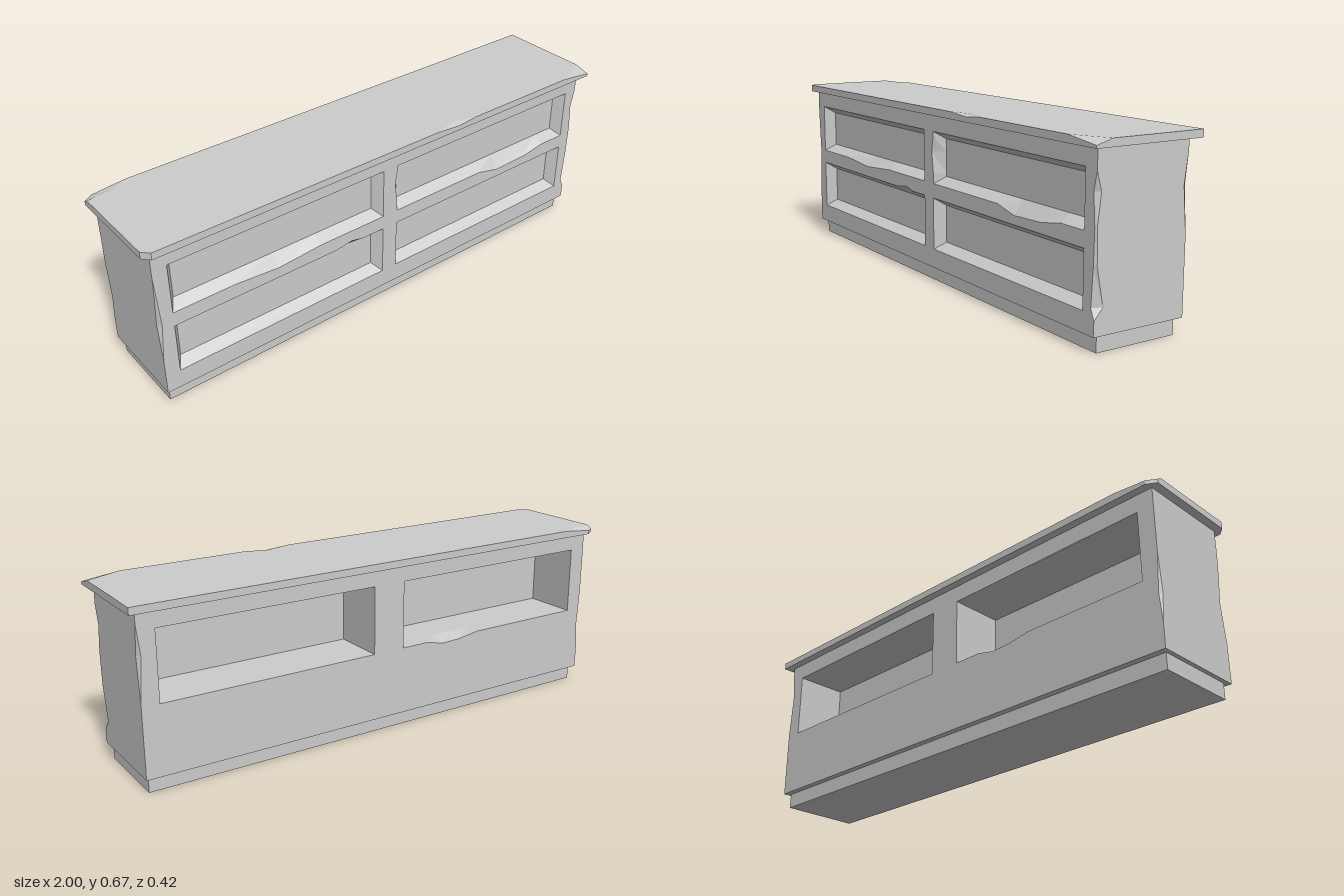
import * as THREE from 'three';

const material = new THREE.MeshStandardMaterial({ color: 0xcccccc, flatShading: true });

function addMesh(parent, geometry, name) {
  const mesh = new THREE.Mesh(geometry, material);
  mesh.name = name;
  parent.add(mesh);
  return mesh;
}

// Strip of quads joining two matching rows of points; collapsed triangles are dropped
function loft(a, b, closed = true) {
  const pos = [];
  const tri = (p, q, r) => {
    const area = q.clone().sub(p).cross(r.clone().sub(p)).length();
    if (area > 1e-9) pos.push(...p.toArray(), ...q.toArray(), ...r.toArray());
  };
  const n = closed ? a.length : a.length - 1;
  for (let i = 0; i < n; i++) {
    const j = (i + 1) % a.length;
    tri(a[i], a[j], b[j]);
    tri(a[i], b[j], b[i]);
  }
  const g = new THREE.BufferGeometry();
  g.setAttribute('position', new THREE.Float32BufferAttribute(pos, 3));
  g.computeVertexNormals();
  return g;
}

const v2 = (x, y) => new THREE.Vector2(x, y);
const v3 = (x, y, z) => new THREE.Vector3(x, y, z);

// Sunken compartment: rim with chipped edges, then stepped inwards to a flat back
function addRecess(parent, name, [x0, x1, y0, y1], z, steps, { bottom = [], top = [], left = [] }) {
  const rim = [[x0, y0], ...bottom, [x1, y0], [x1, y1], ...top, [x0, y1], ...left];
  const group = new THREE.Group();
  group.name = name;
  parent.add(group);
  let previous = rim.map(([x, y]) => v3(x, y, z));
  for (const [inset, depth] of steps) {
    const next = rim.map(([x, y]) => v3(
      THREE.MathUtils.clamp(x, x0 + inset, x1 - inset),
      THREE.MathUtils.clamp(y, y0 + inset, y1 - inset), z - depth));
    addMesh(group, loft(previous, next), 'recessWalls');
    previous = next;
  }
  const [inset, depth] = steps[steps.length - 1];
  const back = new THREE.PlaneGeometry(x1 - x0 - 2 * inset, y1 - y0 - 2 * inset);
  addMesh(group, back, 'recessBack').position.set((x0 + x1) / 2, (y0 + y1) / 2, z - depth);
  return new THREE.Path(rim.map(([x, y]) => v2(x, y)));
}

// Worn vertical corners: [height, cut on this face, cut on the next face]
const Y0 = 0.058, Y1 = 0.64;
const corners = [
  [[0.11, 0, 0], [0.148, 0.016, 0.034], [0.28, 0.008, 0.008], [0.4, 0.006, 0.005],
    [0.505, 0.014, 0.018], [0.57, 0, 0]],
  [[0.325, 0, 0], [0.49, 0.015, 0.012], [0.6, 0, 0]],
  [[0.15, 0, 0], [0.25, 0.008, 0.012], [0.4, 0, 0]],
  [[0.2, 0, 0], [0.35, 0.016, 0.012], [0.45, 0.006, 0.006], [0.55, 0, 0]],
].map(c => [[Y0, 0, 0], ...c, [Y1, 0, 0]]);

// Sunken areas of each face, in that face's own x
const bevel = [[0.027, 0.04]];
const niche = [[0, 0.06], [0, 0.21]];
const frontRecesses = [
  ['upperRightPanel', [-0.915, -0.035, 0.38, 0.575], bevel,
    { bottom: [[-0.68, 0.38], [-0.5, 0.366], [-0.32, 0.38]] }],
  ['upperLeftPanel', [0.03, 0.915, 0.38, 0.575], bevel,
    { bottom: [[0.45, 0.38], [0.55, 0.357], [0.7, 0.362], [0.8, 0.38]],
      left: [[0.03, 0.56], [0.02, 0.5], [0.03, 0.42]] }],
  ['lowerRightPanel', [-0.915, -0.035, 0.13, 0.325], bevel,
    { top: [[-0.13, 0.325], [-0.18, 0.336], [-0.25, 0.325]] }],
  ['lowerLeftPanel', [0.03, 0.915, 0.13, 0.325], bevel, {}],
];
const backRecesses = [
  ['leftNiche', [-0.905, -0.065, 0.317, 0.575], niche, {}],
  ['rightNiche', [0.065, 0.905, 0.317, 0.575], niche,
    { bottom: [[0.18, 0.317], [0.25, 0.3], [0.33, 0.303], [0.42, 0.317]] }],
];
const faces = [
  ['bodyFront', frontRecesses], ['bodyLeft', []], ['bodyBack', backRecesses], ['bodyRight', []],
];

function addBody(root) {
  const half = [0.97, 0.182];
  const body = new THREE.Group();
  body.name = 'body';
  root.add(body);
  faces.forEach(([name, recesses], k) => {
    const w = half[k % 2], d = half[(k + 1) % 2];
    const face = new THREE.Group();
    face.name = name;
    face.rotation.y = k * Math.PI / 2;
    body.add(face);
    const rightEdge = corners[k], leftEdge = corners[(k + 3) % 4];
    const shape = new THREE.Shape([
      ...rightEdge.map(([y, cut]) => v2(w - cut, y)),
      ...leftEdge.map(([y, , cut]) => v2(-w + cut, y)).reverse(),
    ]);
    for (const [label, rect, steps, chips] of recesses) {
      shape.holes.push(addRecess(face, label, rect, d, steps, chips));
    }
    addMesh(face, new THREE.ShapeGeometry(shape), 'wall').position.z = d;
    addMesh(face, loft(
      rightEdge.map(([y, , cut]) => v3(w, y, d - cut)),
      rightEdge.map(([y, cut]) => v3(w - cut, y, d)), false), 'wornCorner');
  });
  const underside = addMesh(body, new THREE.PlaneGeometry(1.94, 0.364), 'underside');
  underside.rotation.x = Math.PI / 2;
  underside.position.y = Y0;
}

// Countertop outline: [outer x, outer z, top x, top z, drop of the chipped edge]
const slab = [
  [-0.975, 0.212, -0.975, 0.212, 0],
  [0.19, 0.212, 0.19, 0.212, 0],
  [0.3, 0.212, 0.3, 0.185, 0.008],
  [0.38, 0.212, 0.38, 0.212, 0],
  [0.865, 0.212, 0.865, 0.212, 0],
  [1, 0.212, 0.933, 0.181, 0.017],
  [1, 0.15, 1, 0.15, 0],
  [1, -0.212, 1, -0.212, 0],
  [-0.84, -0.212, -0.84, -0.212, 0],
  [-0.965, -0.212, -0.9, -0.18, 0.012],
  [-1, -0.19, -0.96, -0.175, 0.012],
  [-1, -0.17, -1, -0.17, 0],
  [-1, 0.185, -1, 0.185, 0],
];

function addCountertop(root) {
  const top = new THREE.Group();
  top.name = 'countertop';
  root.add(top);
  const yTop = 0.667;
  const low = slab.map(([x, z]) => v3(x, Y1, z));
  const mid = slab.map(([x, z, , , drop]) => v3(x, yTop - drop, z));
  const high = slab.map(([, , x, z]) => v3(x, yTop, z));
  addMesh(top, loft(low, mid), 'countertopEdge');
  addMesh(top, loft(mid, high), 'countertopChips');
  const upper = new THREE.ShapeGeometry(new THREE.Shape(high.map(p => v2(p.x, -p.z))));
  addMesh(top, upper.rotateX(-Math.PI / 2).translate(0, yTop, 0), 'countertopSurface');
  const lower = new THREE.ShapeGeometry(new THREE.Shape(low.map(p => v2(p.x, p.z))));
  addMesh(top, lower.rotateX(Math.PI / 2).translate(0, Y1, 0), 'countertopUnderside');
}

export function createModel() {
  const root = new THREE.Group();
  root.name = 'counter';
  addMesh(root, new THREE.BoxGeometry(1.91, Y0, 0.316), 'plinth').position.y = Y0 / 2;
  addBody(root);
  addCountertop(root);
  return root;
}
